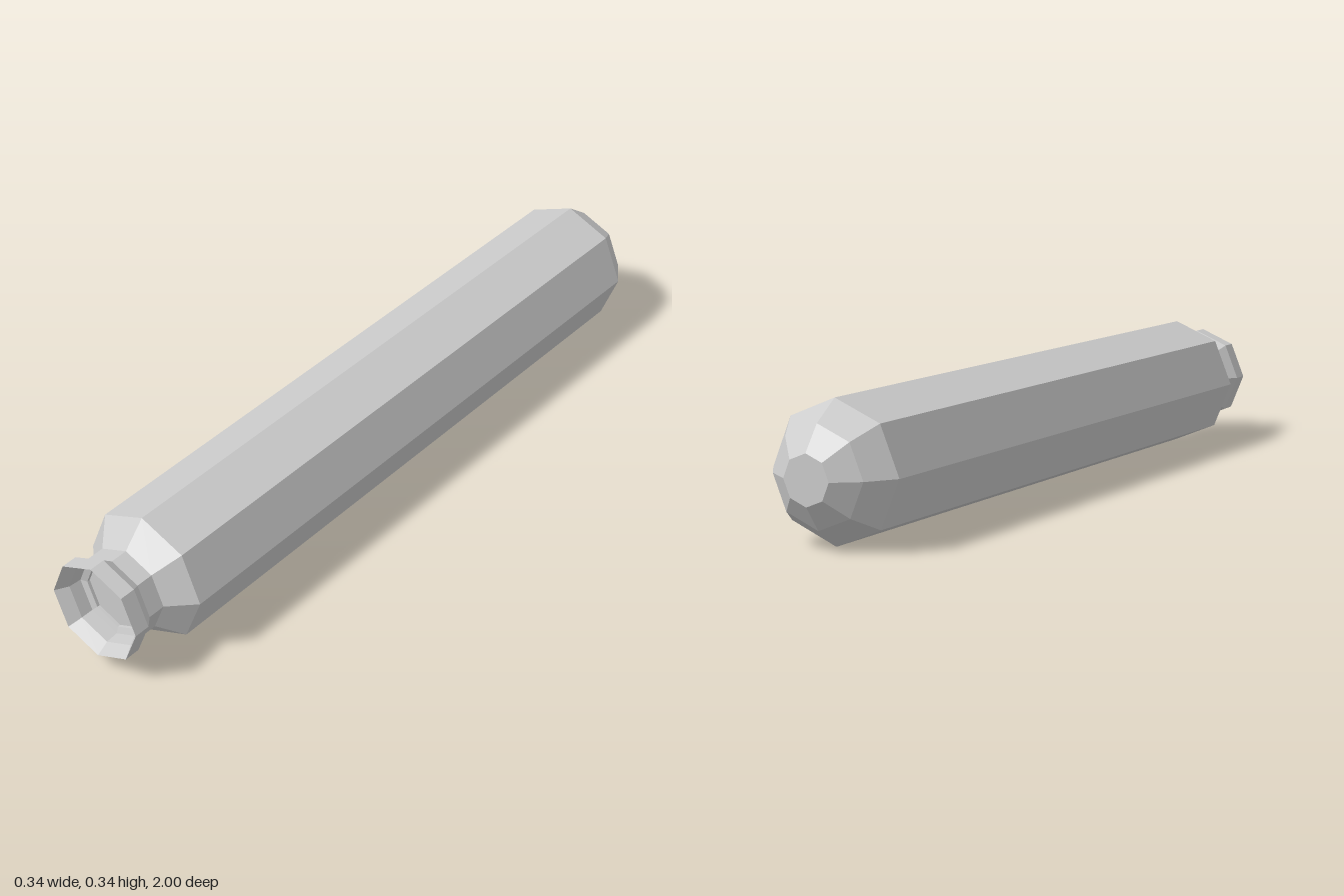
import * as THREE from 'three';

const SIDES = 8;
const RADIUS = 0.168;

// Eight-sided solid of revolution along z, from [radius, z] pairs, back to front
function turned(name, profile, material) {
  const points = profile.map(([r, z]) => new THREE.Vector2(r, z));
  const geometry = new THREE.LatheGeometry(points, SIDES);
  geometry.rotateX(Math.PI / 2);
  const mesh = new THREE.Mesh(geometry, material);
  mesh.name = name;
  mesh.position.y = RADIUS;
  return mesh;
}

export function createModel() {
  const group = new THREE.Group();
  group.name = 'cylinder';
  const material = new THREE.MeshStandardMaterial({
    color: 0xcccccc, flatShading: true, side: THREE.DoubleSide,
  });

  // Rounded back end
  group.add(turned('backCap', [[0, -1], [0.06, -1], [0.12, -0.955], [RADIUS, -0.885]], material));

  // Long straight body with a tapered shoulder
  group.add(turned('body', [[RADIUS, -0.885], [RADIUS, 0.828], [0.108, 0.886]], material));

  // Narrow neck and flared collar
  group.add(turned('neck', [[0.108, 0.886], [0.108, 0.932], [0.128, 0.958], [0.128, 1]], material));

  // Recessed mouth: sloped lip, short wall, ledge and floor
  group.add(turned('mouth', [
    [0.128, 1], [0.109, 0.968], [0.106, 0.935], [0.089, 0.93], [0.089, 0.922], [0, 0.922],
  ], material));

  return group;
}
